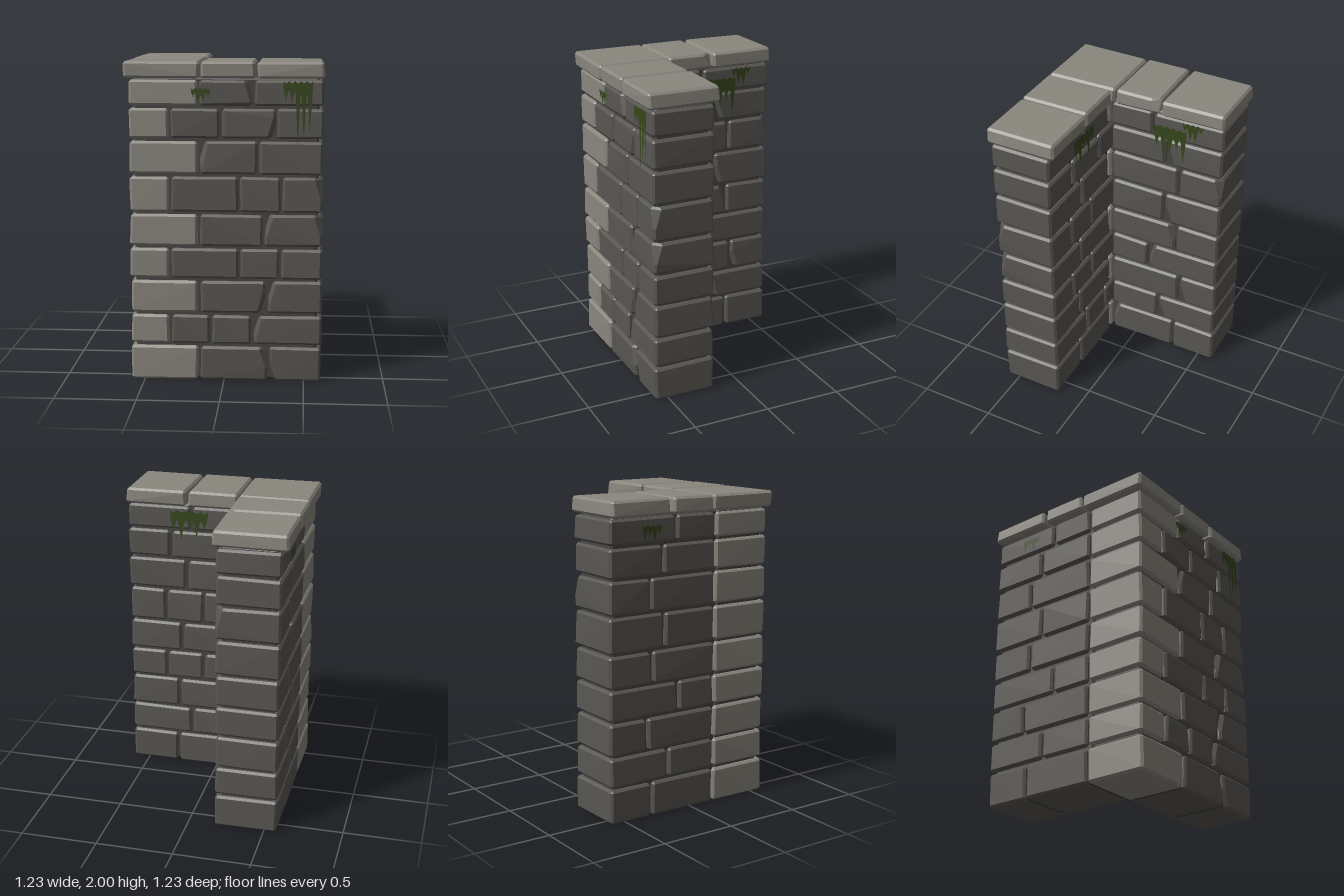
import * as THREE from 'three';
import { ConvexGeometry } from 'three/addons/geometries/ConvexGeometry.js';

const mat = (color, extra) => new THREE.MeshStandardMaterial({ color, roughness: 1, ...extra });
const paleStone = mat(0x8a877e, { flatShading: true });
const darkStone = mat(0x595753, { flatShading: true });
const mortarMat = mat(0x484643, { flatShading: true });
const mossMat = mat(0x36461c, { side: THREE.DoubleSide });

let seed = 7;
const jitter = (amount) => {
  seed = (seed * 16807) % 2147483647;
  return (seed / 2147483647 - 0.5) * 2 * amount;
};

// Chamfered block between two corners; each chip names a corner by its signs
// and gives how far the break runs along x, y and z
function block(name, material, lo, hi, chips = [], wobble = 0.004) {
  const e = 0.014;
  const points = [];
  for (const sx of [-1, 1]) for (const sy of [-1, 1]) for (const sz of [-1, 1]) {
    const s = [sx, sy, sz];
    const corner = s.map((d, i) => (d < 0 ? lo[i] : hi[i]) + jitter(i === 1 ? wobble / 2 : wobble));
    if (lo[1] === 0 && sy < 0) corner[1] = 0;
    const chip = chips.find((c) => c.at.every((d, i) => d === s[i]));
    const insets = [];
    for (let i = 0; i < 3; i++) {
      const j = (i + 1) % 3, k = (i + 2) % 3;
      if (chip) {
        // two points on the chamfered edge along axis i
        for (const side of [j, k]) {
          const inset = [0, 0, 0];
          inset[i] = chip.size[i];
          inset[side] = e;
          insets.push(inset);
        }
      } else {
        // one point on the face across axis i
        const inset = [e, e, e];
        inset[i] = 0;
        insets.push(inset);
      }
    }
    for (const inset of insets) {
      points.push(new THREE.Vector3(...corner.map((v, i) => v - s[i] * inset[i])));
    }
  }
  const mesh = new THREE.Mesh(new ConvexGeometry(points), material);
  mesh.name = name;
  return mesh;
}

// Hanging moss: flat ragged patch with pointed drips of given lengths
function moss(name, width, drips, position, turn) {
  const shape = new THREE.Shape();
  const step = width / drips.length;
  shape.moveTo(0, 0);
  drips.forEach((d, i) => {
    const x = i * step;
    const valley = Math.min(0.09, d * 0.5);
    shape.lineTo(x + step * 0.12, -valley);
    shape.lineTo(x + step * 0.38, -d * 0.8);
    shape.lineTo(x + step * 0.5, -d);
    shape.lineTo(x + step * 0.64, -d * 0.75);
    shape.lineTo(x + step * 0.9, -valley * 0.9);
  });
  shape.lineTo(width, 0);
  for (let i = drips.length * 2 - 1; i > 0; i--) shape.lineTo((i * step) / 2, i % 2 ? -0.014 : 0.002);
  const mesh = new THREE.Mesh(new THREE.ShapeGeometry(shape), mossMat);
  mesh.name = name;
  mesh.position.set(...position);
  mesh.rotation.y = turn;
  return mesh;
}

// Heights where courses begin, then the joints of each course along the front
// wing (after the corner stone) and the single joint along the side wing
const STARTS = [0, 0.235, 0.435, 0.655, 0.86, 1.075, 1.31, 1.53, 1.73, 1.903];
const FRONT_JOINTS = [
  [0.28], [-0.08, 0.18], [0.265], [0.095, 0.35], [0.245], [0.095, 0.355], [0.21], [-0.02, 0.32], [0.18],
];
const SIDE_JOINTS = [-0.3, -0.18, -0.335, -0.1, -0.3, -0.21, -0.31, -0.22, -0.12];

// Broken corners per course: wing, stone, end along the wing (+/-), top or bottom (+/-)
const CHIPS = [
  'f1++ f2-- s0++', 'f3-+ s1+-', 'f1+- f2-+ s1+-', 's1++', 'f2-+ f2++ s0-+',
  'f3++ s1+-', 'f1-+ s1-+', 'f2+- s1+-', 'f1++',
];

function chipsFor(course, wing, stone) {
  return CHIPS[course].split(' ').filter((c) => c.startsWith(wing + stone)).map((c) => {
    const end = c[2] === '+' ? 1 : -1;
    const up = c[3] === '+' ? 1 : -1;
    return { at: wing === 'f' ? [end, up, 1] : [1, up, end], size: [0.05, 0.13, 0.05] };
  });
}

export function createModel() {
  seed = 7;
  const model = new THREE.Group();
  model.name = 'cornerWall';
  const gap = 0.008;

  // Mortar cores, set back behind the stone faces
  model.add(
    block('frontMortar', mortarMat, [-0.555, 0.004, 0.205], [0.58, 1.9, 0.56], [], 0),
    block('sideMortar', mortarMat, [-0.555, 0.004, -0.58], [-0.205, 1.9, 0.21], [], 0),
  );

  const stones = new THREE.Group();
  stones.name = 'wallStones';
  model.add(stones);
  FRONT_JOINTS.forEach((joints, course) => {
    const y0 = STARTS[course];
    const y1 = STARTS[course + 1] - 0.018;

    // Front wing: long and short pale corner stones alternate
    const xs = [-0.59, course % 2 ? -0.335 : -0.155, ...joints, 0.615];
    for (let i = 0; i < xs.length - 1; i++) {
      stones.add(block(i ? 'frontStone' : 'cornerStone', i ? darkStone : paleStone,
        [xs[i] + gap, y0, 0.183], [xs[i + 1] - gap, y1, 0.586], chipsFor(course, 'f', i)));
    }

    // Side wing, from the corner towards the back
    const zs = [0.18, SIDE_JOINTS[course], -0.615];
    for (let i = 0; i < 2; i++) {
      stones.add(block('sideStone', darkStone,
        [-0.582, y0, zs[i + 1] + gap], [-0.178, y1, zs[i] - gap], chipsFor(course, 's', i)));
    }
  });

  // Overhanging coping slabs
  const caps = new THREE.Group();
  caps.name = 'copingSlabs';
  model.add(caps);
  const slab = (x0, x1, z0, z1, chips) =>
    caps.add(block('copingSlab', paleStone, [x0, 1.897, z0], [x1, 1.998, z1], chips));
  slab(-0.612, -0.152, 0.142, 0.61);
  slab(-0.14, 0.19, 0.152, 0.61);
  slab(0.205, 0.61, 0.148, 0.61);
  slab(-0.617, -0.154, -0.17, 0.132, [{ at: [1, 1, -1], size: [0.035, 0.08, 0.055] }]);
  slab(-0.617, -0.154, -0.612, -0.19);

  // Moss hanging under the coping
  const growth = new THREE.Group();
  growth.name = 'moss';
  model.add(growth);
  growth.add(
    moss('frontMoss', 0.18, [0.12, 0.13, 0.38, 0.36, 0.3], [0.36, 1.88, 0.597], 0),
    moss('frontMossSmall', 0.12, [0.06, 0.11, 0.09, 0.06], [-0.2, 1.84, 0.597], 0),
    moss('innerSideMoss', 0.23, [0.16, 0.25, 0.2, 0.16, 0.25], [-0.168, 1.82, -0.13], Math.PI / 2),
    moss('innerSideMossSmall', 0.14, [0.06, 0.12, 0.13, 0.05], [-0.168, 1.88, -0.33], Math.PI / 2),
    moss('innerFrontMoss', 0.26, [0.14, 0.2, 0.12, 0.18, 0.12], [0.32, 1.86, 0.172], Math.PI),
    moss('outerSideMoss', 0.14, [0.1, 0.07, 0.11, 0.06], [-0.593, 1.84, -0.38], -Math.PI / 2),
  );
  return model;
}
